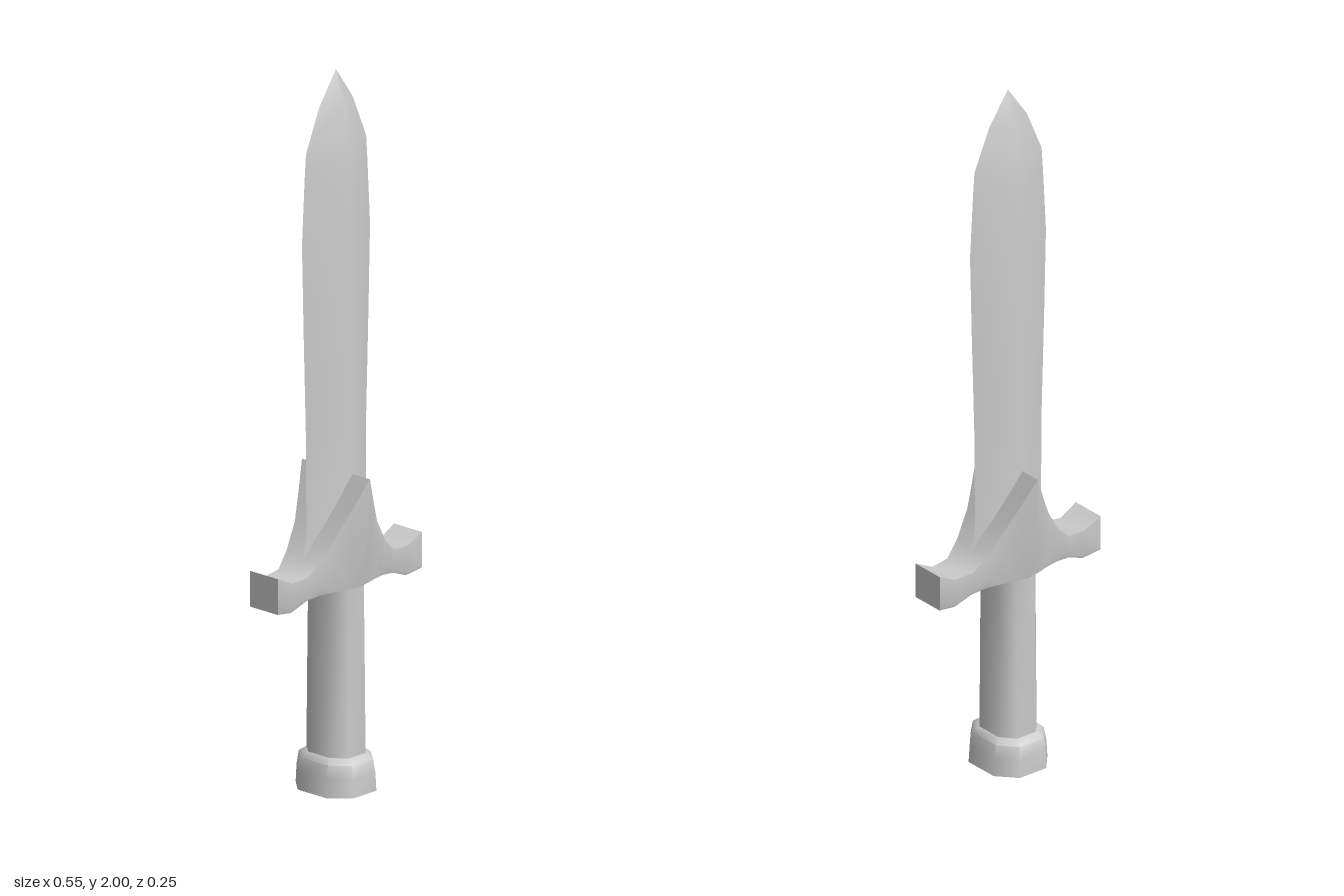
import * as THREE from 'three';
import { toCreasedNormals } from 'three/addons/utils/BufferGeometryUtils.js';

// Skin equal-length rings of [x, y, z]; rings turn counter-clockwise about the loft direction.
function loft(rings, crease) {
  const n = rings[0].length, index = [];
  for (let i = 0; i < rings.length - 1; i++) {
    for (let j = 0; j < n; j++) {
      const a = i * n + j, b = i * n + (j + 1) % n;
      index.push(a, b, b + n, a, b + n, a + n);
    }
  }
  const last = (rings.length - 1) * n;
  for (let j = 1; j < n - 1; j++) {
    index.push(0, j + 1, j, last, last + j, last + j + 1);
  }
  const geometry = new THREE.BufferGeometry();
  geometry.setAttribute('position', new THREE.Float32BufferAttribute(rings.flat(2), 3));
  geometry.setIndex(index);
  return toCreasedNormals(geometry, crease);
}

// Diamond section for the blade
const diamond = ([y, w, d]) => [[w, y, 0], [0, y, -d], [-w, y, 0], [0, y, d]];

// Octagonal section for grip and pommel
const octagon = ([y, w, d]) => {
  const a = w * 0.49, b = d * 0.5;
  return [[w, y, b], [w, y, -b], [a, y, -d], [-a, y, -d],
    [-w, y, -b], [-w, y, b], [-a, y, d], [a, y, d]];
};

// Guard section: upright band on each face, tapering in to a narrower underside
const guardSection = ([x, top, low, base, outer, inner]) => [
  [x, top, -outer], [x, top, outer], [x, low, outer],
  [x, base, inner], [x, base, -inner], [x, low, -outer],
];

export function createModel() {
  const group = new THREE.Group();
  const steel = new THREE.MeshStandardMaterial({ color: 0xcccccc });
  steel.name = 'steel';

  const add = (name, rings, crease) => {
    const mesh = new THREE.Mesh(loft(rings, crease), steel);
    mesh.name = name;
    group.add(mesh);
  };

  // Leaf-shaped blade: y, half width, half depth
  add('blade', [
    [0.58, 0.155, 0.062], [0.64, 0.135, 0.062], [0.72, 0.113, 0.062], [1.0, 0.115, 0.06],
    [1.3, 0.124, 0.057], [1.54, 0.13, 0.054], [1.72, 0.12, 0.048], [1.79, 0.115, 0.042],
    [1.91, 0.064, 0.028], [2.0, 0.001, 0.001],
  ].map(diamond), 1.05);

  // Guard: x, top, band bottom, underside, outer half depth, underside half depth
  const half = [
    [0, 0.885, 0.75, 0.575, 0.125, 0.085],
    [0.04, 0.805, 0.7, 0.575, 0.1, 0.078],
    [0.075, 0.74, 0.655, 0.575, 0.079, 0.068],
    [0.12, 0.672, 0.605, 0.574, 0.066, 0.058],
    [0.165, 0.632, 0.576, 0.567, 0.053, 0.05],
    [0.22, 0.628, 0.552, 0.546, 0.048, 0.045],
    [0.275, 0.655, 0.562, 0.555, 0.052, 0.05],
  ];
  const mirrored = half.slice(1).reverse().map(([x, ...rest]) => [-x, ...rest]);
  add('guard', [...mirrored, ...half].map(guardSection), 0.75);

  // Grip
  add('grip', [[0.08, 0.066, 0.078], [0.35, 0.065, 0.075], [0.59, 0.064, 0.072]].map(octagon), 0.9);

  // Pommel with a sloped shoulder
  add('pommel', [
    [0, 0.092, 0.105], [0.05, 0.089, 0.103], [0.088, 0.082, 0.098], [0.105, 0.064, 0.074],
  ].map(octagon), 0.9);

  return group;
}
